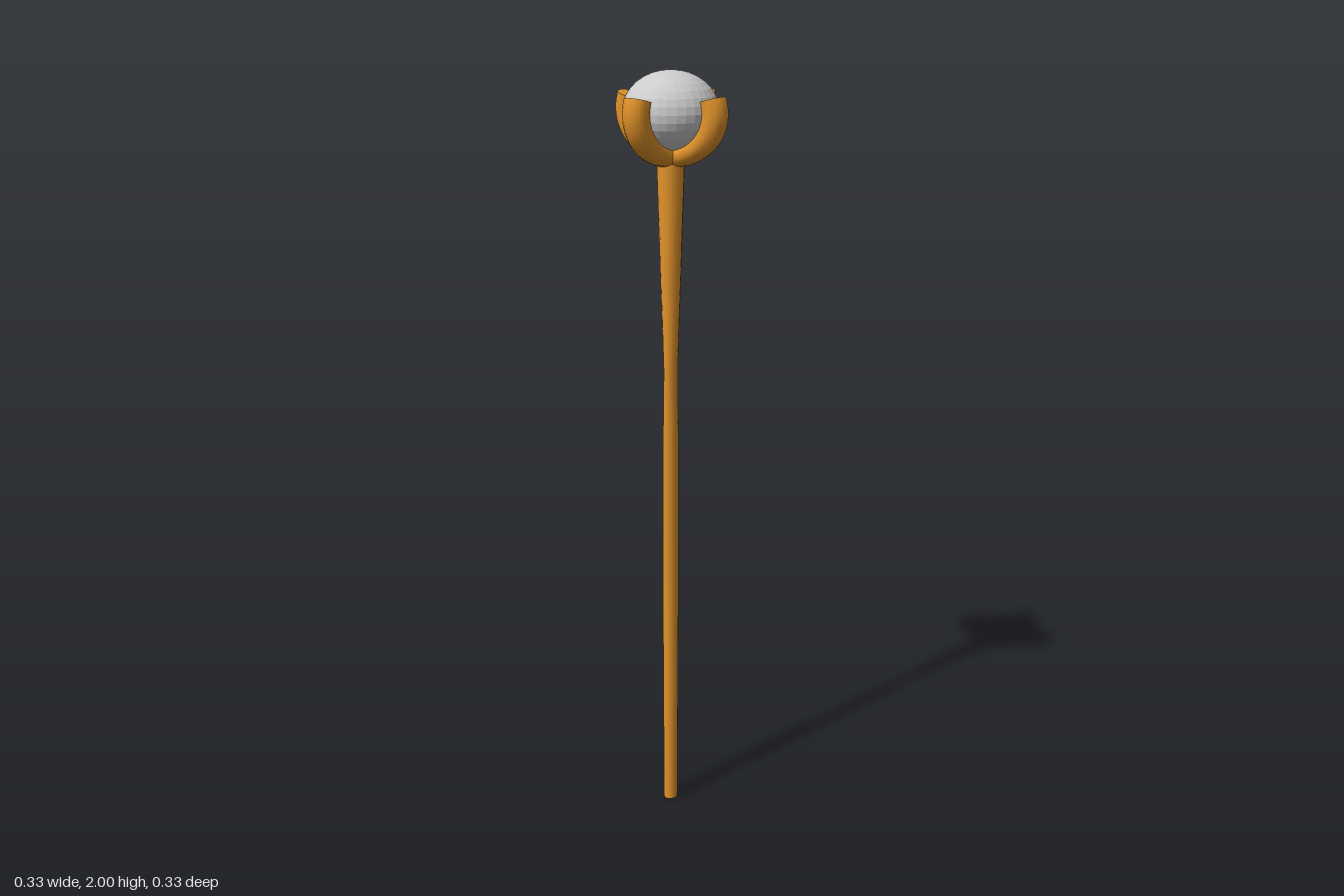
import * as THREE from 'three';
import { mergeGeometries } from 'three/addons/utils/BufferGeometryUtils.js';

const wood = new THREE.MeshStandardMaterial({ color: 0xe0922a });
const grey = new THREE.MeshStandardMaterial({ color: 0xcccccc, flatShading: true });

const HEAD_Y = 1.904;  // centre of orb and claws
const SQUASH = 0.815;  // the head is flattened vertically

// Shaft sections: height, half width in x, half width in z
const SECTIONS = [
  [0, 0.018, 0.02],
  [0.65, 0.02, 0.023],
  [1.1, 0.018, 0.023],
  [1.25, 0.015, 0.022],
  [1.5, 0.024, 0.029],
  [1.79, 0.034, 0.036],
];

function shaftGeometry() {
  const rows = SECTIONS.length - 1;
  const g = new THREE.CylinderGeometry(1, 1, rows, 16, rows);
  const p = g.attributes.position;
  for (let i = 0; i < p.count; i++) {
    const [y, rx, rz] = SECTIONS[Math.round(p.getY(i) + rows / 2)];
    p.setXYZ(i, p.getX(i) * rx, y, p.getZ(i) * rz);
  }
  // stretch normals to suit the slim oval section
  const n = g.attributes.normal;
  for (let i = 0; i < n.count; i++) {
    const v = new THREE.Vector3(n.getX(i) * 1.15, n.getY(i), n.getZ(i)).normalize();
    n.setXYZ(i, v.x, v.y, v.z);
  }
  return g;
}

// One claw: an arc from under the orb to just above its middle, with a flat tip
function clawGeometry() {
  const R = 0.132, r = 0.033, tip = Math.PI / 10;
  const arc = new THREE.TorusGeometry(R, r, 14, 18, Math.PI / 2 + tip);
  arc.rotateZ(-Math.PI / 2);
  const cap = new THREE.CircleGeometry(r, 14);
  cap.rotateX(-Math.PI / 2).translate(R, 0, 0).rotateZ(tip);
  return mergeGeometries([arc, cap]).scale(1, SQUASH, 1);
}

export function createModel() {
  const model = new THREE.Group();
  model.name = 'staff';

  const shaft = new THREE.Mesh(shaftGeometry(), wood);
  shaft.name = 'shaft';
  model.add(shaft);

  // Four claws around the orb
  const claws = new THREE.Group();
  claws.name = 'claws';
  claws.position.y = HEAD_Y;
  const claw = clawGeometry();
  for (let i = 0; i < 4; i++) {
    const m = new THREE.Mesh(claw, wood);
    m.name = 'claw' + (i + 1);
    m.rotation.y = (i * Math.PI) / 2;
    claws.add(m);
  }
  model.add(claws);

  // Orb held by the claws
  const orb = new THREE.Mesh(new THREE.SphereGeometry(0.118, 32, 16), grey);
  orb.name = 'orb';
  orb.scale.y = SQUASH;
  orb.position.y = HEAD_Y;
  model.add(orb);

  return model;
}
